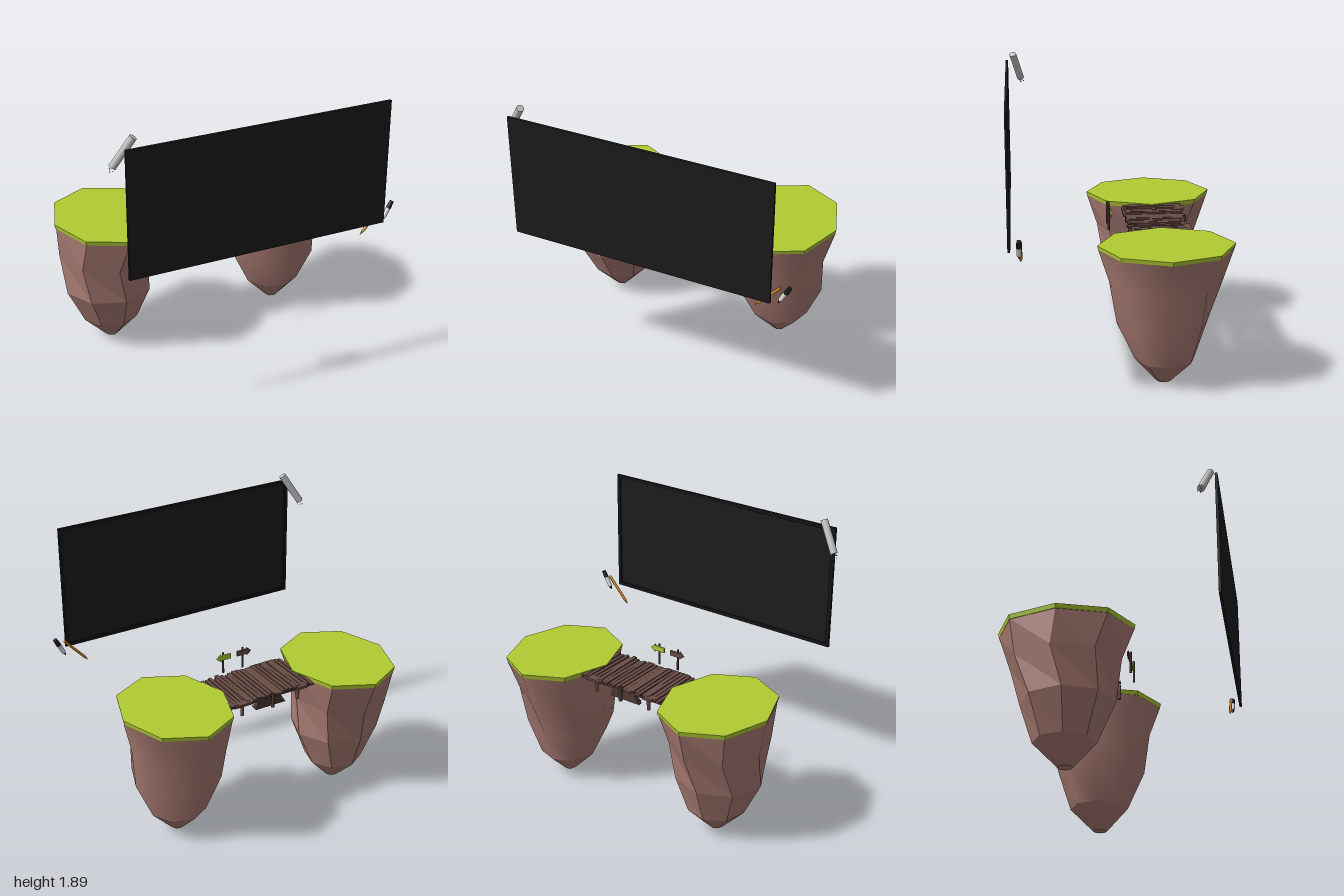
import * as THREE from 'three';

const mat = (name, color) => {
  const m = new THREE.MeshStandardMaterial({ color });
  m.name = name;
  return m;
};

export function createModel() {
  const rock = mat('rock', 0xab7c74);
  const grass = mat('grass', 0xb0cc33);
  const wood = mat('wood', 0x6a4d46);
  const darkWood = mat('dark wood', 0x513a35);
  const black = mat('board black', 0x1c1c1c);
  const frameBlack = mat('frame black', 0x151515);
  const chalk = mat('chalk', 0xc4c4c4);
  const orange = mat('pencil orange', 0xd08a1e);
  const white = mat('marker white', 0xe4e4e4);

  const model = new THREE.Group();
  model.name = 'floatingIslandsWithBoard';
  const group = (name) => {
    const g = new THREE.Group();
    g.name = name;
    model.add(g);
    return g;
  };
  const add = (parent, name, geo, material) => {
    const m = new THREE.Mesh(geo, material);
    m.name = name;
    parent.add(m);
    return m;
  };
  const box = (parent, name, material, size, pos, rot = [0, 0, 0]) => {
    const m = add(parent, name, new THREE.BoxGeometry(...size), material);
    m.position.set(...pos);
    m.rotation.set(...rot);
    return m;
  };
  // Tapered rod from point a to point b
  const rod = (parent, name, material, a, b, ra, rb = ra, sides = 12) => {
    const p = new THREE.Vector3(...a), q = new THREE.Vector3(...b);
    const d = q.clone().sub(p);
    const m = add(parent, name, new THREE.CylinderGeometry(rb, ra, d.length(), sides), material);
    m.position.copy(p).add(q).multiplyScalar(0.5);
    m.quaternion.setFromUnitVectors(new THREE.Vector3(0, 1, 0), d.normalize());
    return m;
  };
  let seed = 7;
  const rand = () => (seed = (seed * 16807) % 2147483647) / 2147483647;

  // Rock skin from eight-sided rings [y, xMin, xMax, zMin, zMax, twist], top to bottom
  const skin = (rings, smooth, closed) => {
    const pos = [], idx = [];
    for (const [y, x0, x1, z0, z1, twist] of rings) {
      for (let j = 0; j < 8; j++) {
        const a = (j * Math.PI) / 4 + twist;
        pos.push((x0 + x1) / 2 + (Math.cos(a) * (x1 - x0)) / 2, y, (z0 + z1) / 2 + (Math.sin(a) * (z1 - z0)) / 2);
      }
    }
    for (let i = 0; i < rings.length - 1; i++) {
      for (let j = 0; j < 8; j++) {
        const a = i * 8 + j, b = i * 8 + ((j + 1) % 8);
        idx.push(a, b, a + 8, b, b + 8, a + 8);
      }
    }
    const last = (rings.length - 1) * 8;
    if (closed) for (let j = 1; j < 7; j++) idx.push(last, last + j, last + j + 1);
    let geo = new THREE.BufferGeometry();
    geo.setAttribute('position', new THREE.Float32BufferAttribute(pos, 3));
    geo.setIndex(idx);
    if (!smooth) geo = geo.toNonIndexed();
    geo.computeVertexNormals();
    return geo;
  };
  const island = (name, cx, rings, smooth) => {
    const g = group(name);
    add(g, 'rockBody', skin(rings.slice(0, 4), smooth, false), rock);
    add(g, 'rockTip', skin(rings.slice(3), false, true), rock);
    const cap = new THREE.CylinderGeometry(1, 0.985, 0.03, 8).toNonIndexed();
    cap.computeVertexNormals();
    const top = add(g, 'grassTop', cap, grass);
    top.scale.set(0.357, 1, 0.433);
    top.position.set(cx, 0.895, -0.278);
  };
  island('rightIsland', -0.643, [
    [0.885, -0.99, -0.295, -0.705, 0.15, 0],
    [0.66, -0.97, -0.35, -0.63, 0.08, 0.1],
    [0.4, -0.95, -0.355, -0.55, 0.035, -0.06],
    [0.155, -0.835, -0.45, -0.47, -0.08, -0.14],
    [0, -0.685, -0.595, -0.315, -0.22, -0.14],
  ], false);
  island('leftIsland', 0.6, [
    [0.885, 0.25, 0.955, -0.705, 0.15, 0],
    [0.66, 0.27, 0.895, -0.63, 0.08, 0.08],
    [0.4, 0.285, 0.887, -0.55, 0.035, -0.05],
    [0.155, 0.405, 0.785, -0.47, -0.08, -0.1],
    [0, 0.555, 0.64, -0.315, -0.22, -0.1],
  ], true);

  // Plank bridge with uneven boards
  const bridge = group('bridge');
  for (let i = 0; i < 21; i++) {
    const wide = i === 8 ? 0.05 : 0.021 + rand() * 0.006;
    const len = 0.37 + rand() * 0.03;
    box(bridge, 'plank', wood, [wide, 0.014, len],
      [-0.31 + i * 0.0298, 0.893 + rand() * 0.006, -0.27 + (rand() - 0.5) * 0.02],
      [0, (rand() - 0.5) * 0.04, (rand() - 0.5) * 0.08]);
  }
  for (const z of [-0.42, -0.13]) box(bridge, 'beam', darkWood, [0.62, 0.025, 0.03], [-0.01, 0.873, z]);
  box(bridge, 'edgeBoard', wood, [0.07, 0.016, 0.05], [-0.235, 0.895, -0.457]);
  box(bridge, 'edgeBoard', wood, [0.14, 0.016, 0.05], [0.21, 0.895, -0.457]);
  box(bridge, 'edgeBoard', wood, [0.18, 0.016, 0.03], [-0.18, 0.892, -0.077]);
  for (const [x, z] of [[-0.25, -0.1], [0.225, -0.08], [-0.22, -0.44], [0.2, -0.44]])
    rod(bridge, 'hangingPost', wood, [x, 0.8, z], [x, 0.895, z], 0.012, 0.012, 8);

  // Struts and sagging boards below the bridge
  const plate = new THREE.Shape([[-0.135, 0.8], [0.09, 0.8], [0.07, 0.865], [-0.09, 0.87]].map((p) => new THREE.Vector2(...p)));
  const brace = add(bridge, 'brace', new THREE.ExtrudeGeometry(plate, { depth: 0.03, bevelEnabled: false }), darkWood);
  brace.position.z = -0.43;
  for (let i = 0; i < 7; i++) {
    const a = (i / 6) * Math.PI;
    rod(bridge, 'strut', darkWood, [-0.015, 0.875, -0.4],
      [-0.015 + Math.cos(a) * 0.11, 0.81, -0.4 + Math.sin(a) * 0.2], 0.009, 0.009, 6);
  }
  rod(bridge, 'centrePost', darkWood, [-0.015, 0.81, -0.465], [-0.015, 0.91, -0.465], 0.012, 0.012, 8);
  box(bridge, 'looseBoard', wood, [0.12, 0.012, 0.09], [-0.2, 0.845, -0.17], [0.3, 0.1, -0.35]);
  box(bridge, 'looseBoard', wood, [0.1, 0.012, 0.08], [0.17, 0.86, -0.3], [-0.2, 0.2, 0.3]);

  // Arrow signs on posts
  const sign = (x, dir, material) => {
    const g = group('signPost');
    rod(g, 'post', darkWood, [x, 0.84, 0.045], [x, 0.99, 0.045], 0.007, 0.007, 8);
    const pts = [[-0.05, -0.018], [0.025, -0.018], [0.025, -0.028], [0.058, 0], [0.025, 0.028], [0.025, 0.018], [-0.05, 0.018]];
    const shape = new THREE.Shape(pts.map(([u, v]) => new THREE.Vector2(u * dir, v)));
    const arrow = add(g, 'arrow', new THREE.ExtrudeGeometry(shape, { depth: 0.01, bevelEnabled: false }), material);
    arrow.position.set(x, 0.96, 0.028);
  };
  sign(-0.1, -1, wood);
  sign(0.05, 1, grass);

  // Board with a raised frame on its back
  const board = group('board');
  const cx = 0.012, cy = 1.397;
  box(board, 'panel', black, [1.755, 0.845, 0.009], [cx, cy, 0.7005]);
  for (const s of [-1, 1]) {
    box(board, 'frameSide', frameBlack, [0.025, 0.845, 0.008], [cx + s * 0.865, cy, 0.692]);
    box(board, 'frameEdge', frameBlack, [1.705, 0.025, 0.008], [cx, cy + s * 0.41, 0.692]);
  }

  // Chalk stick with crumbs
  const stick = group('chalk');
  rod(stick, 'stick', chalk, [-0.91, 1.685, 0.603], [-0.797, 1.872, 0.655], 0.024, 0.024, 20);
  for (let i = 0; i < 8; i++) {
    const c = add(stick, 'crumb', new THREE.TetrahedronGeometry(0.006), chalk);
    c.position.set(-0.93 + rand() * 0.04, 1.655 + rand() * 0.03, 0.575 + rand() * 0.035);
  }

  // Pencil
  const pencil = group('pencil');
  rod(pencil, 'tip', black, [0.765, 0.873, 0.627], [0.771, 0.88, 0.627], 0.0005, 0.003, 6);
  rod(pencil, 'point', orange, [0.771, 0.88, 0.627], [0.788, 0.9, 0.627], 0.003, 0.01, 6);
  rod(pencil, 'shaft', orange, [0.788, 0.9, 0.627], [0.925, 1.052, 0.627], 0.01, 0.01, 6);

  // Marker
  const marker = group('marker');
  const at = (t) => [0.918 + 0.07 * t, 0.945 + 0.13 * t, 0.636];
  rod(marker, 'nib', black, at(0), at(0.18), 0.003, 0.011);
  rod(marker, 'barrel', white, at(0.18), at(0.65), 0.014, 0.016);
  rod(marker, 'cap', black, at(0.65), at(1), 0.017, 0.014);
  return model;
}
